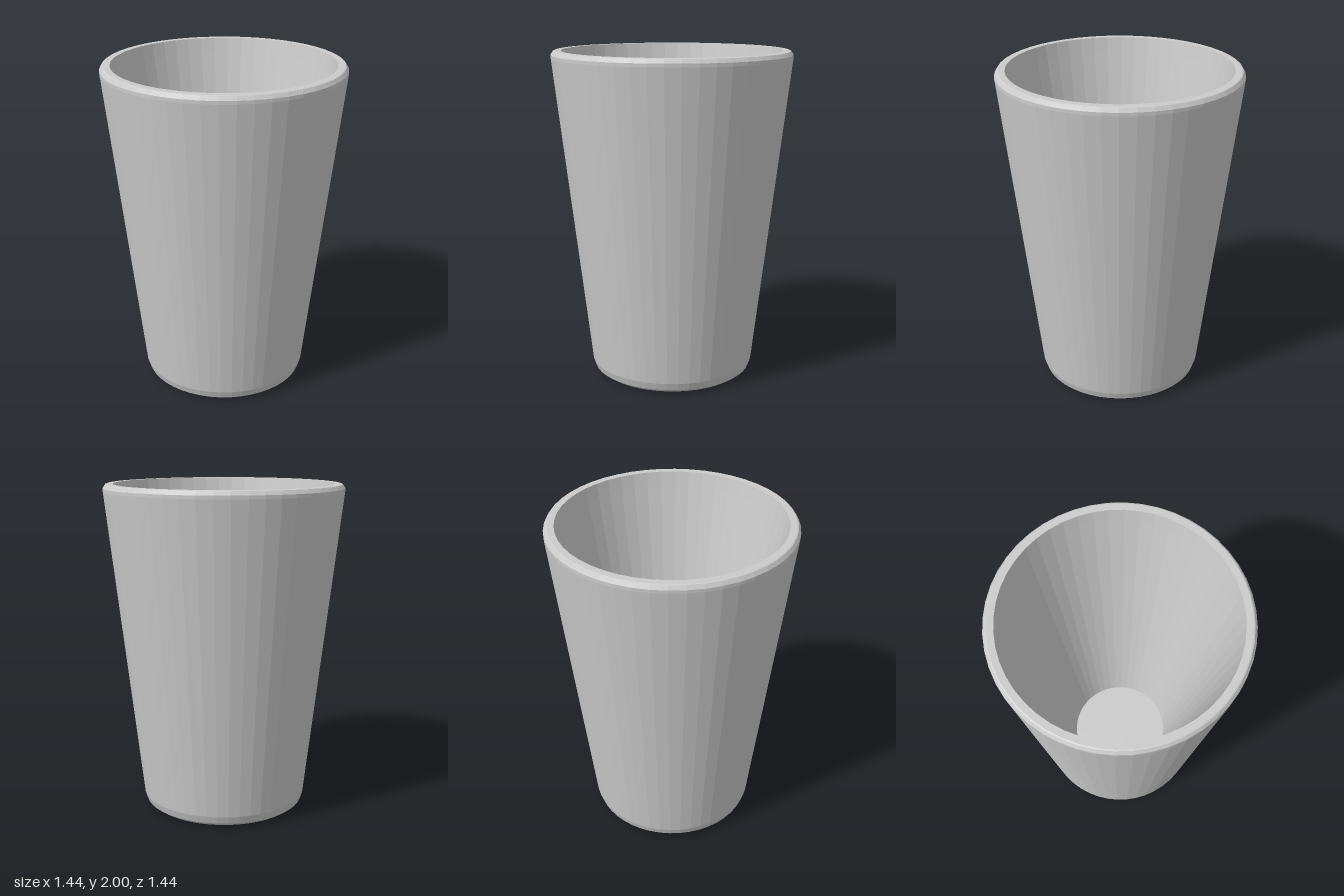
import * as THREE from 'three';

const SIDES = 48;

// Revolves a list of [radius, height] pairs around the y axis.
function revolve(name, profile, material) {
  const points = profile.map(([r, y]) => new THREE.Vector2(r, y));
  const mesh = new THREE.Mesh(new THREE.LatheGeometry(points, SIDES), material);
  mesh.name = name;
  return mesh;
}

export function createModel() {
  const group = new THREE.Group();
  group.name = 'cup';
  const material = new THREE.MeshStandardMaterial({ color: 0xcccccc, flatShading: true });

  // Underside: shallow recess, foot ring and bevelled lower edge
  const base = [[0, 0.03], [0.345, 0.03], [0.355, 0], [0.44, 0], [0.46, 0.008], [0.49, 0.03], [0.505, 0.075]];
  // Tapered outside wall
  const wall = [[0.505, 0.075], [0.721, 1.955]];
  // Rim: softened outside edge, flat top, slight inside bevel
  const rim = [[0.721, 1.955], [0.721, 1.975], [0.707, 1.997], [0.7, 2], [0.66, 2], [0.644, 1.91]];
  // Inside wall and floor
  const inside = [[0.644, 1.91], [0.305, 0.14], [0, 0.14]];

  group.add(
    revolve('base', base, material),
    revolve('outerWall', wall, material),
    revolve('rim', rim, material),
    revolve('interior', inside, material),
  );
  return group;
}
